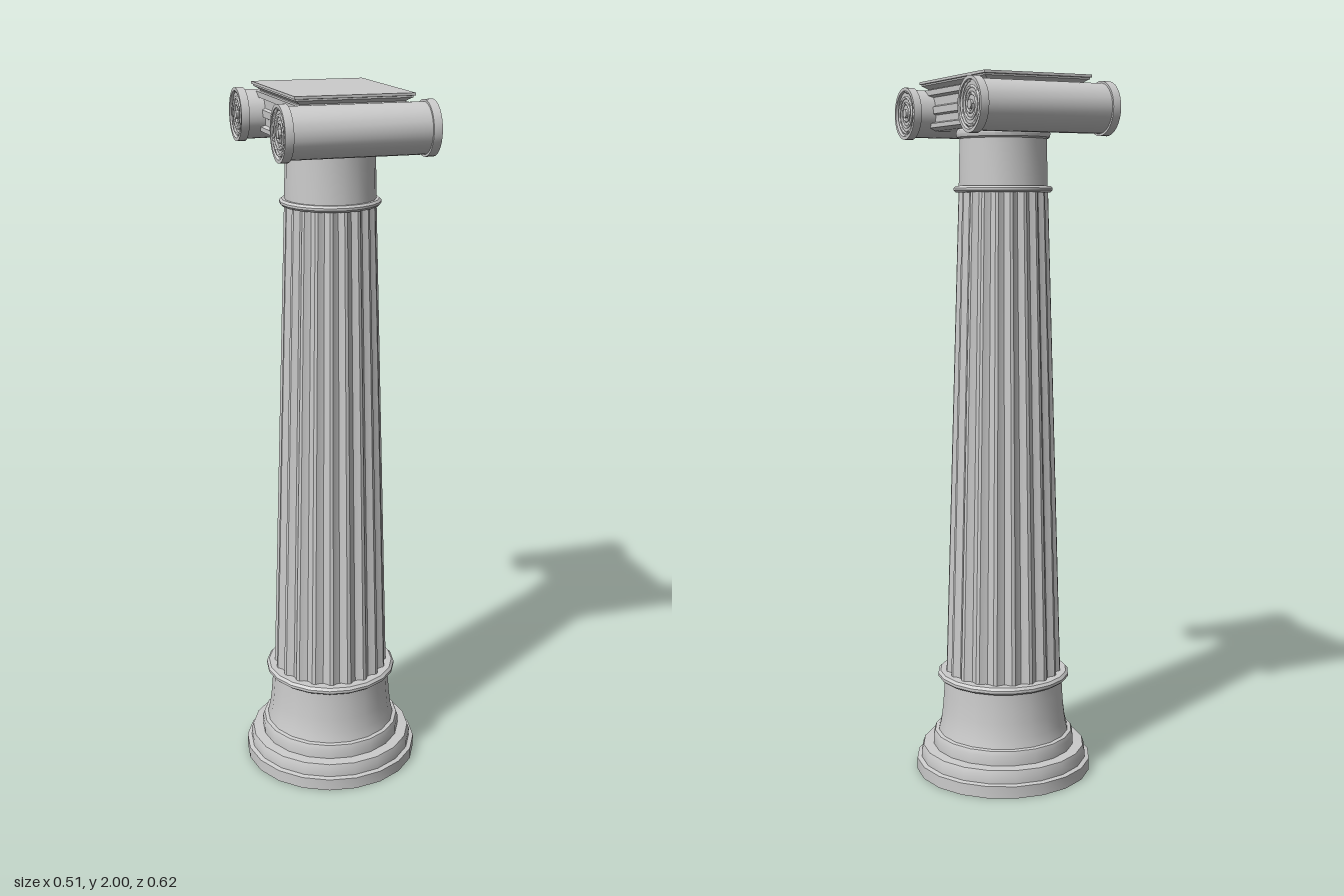
import * as THREE from 'three';
import { toCreasedNormals } from 'three/addons/utils/BufferGeometryUtils.js';

const material = new THREE.MeshStandardMaterial({ color: 0xcccccc });
const SIDES = 20;

function part(name, geometry, crease = 0.5) {
  const mesh = new THREE.Mesh(toCreasedNormals(geometry, crease), material);
  mesh.name = name;
  return mesh;
}

// Profile points are [radius, height], bottom to top
function lathe(points, sides = SIDES) {
  return new THREE.LatheGeometry(points.map(p => new THREE.Vector2(...p)), sides);
}

// Tapered shaft whose surface is pressed in to form the flutes
function flutedShaft() {
  const depth = [0, 0, 0.65, 1, 0.65];
  const bottom = 0.29, top = 1.7;
  const g = new THREE.CylinderGeometry(0.126, 0.169, top - bottom, SIDES * depth.length, 1, true);
  const p = g.attributes.position;
  const step = Math.PI * 2 / (SIDES * depth.length);
  for (let i = 0; i < p.count; i++) {
    const k = Math.round((Math.atan2(p.getX(i), p.getZ(i)) + Math.PI * 2) / step);
    const s = 1 - 0.075 * depth[k % depth.length];
    p.setXYZ(i, p.getX(i) * s, p.getY(i) + (top + bottom) / 2, p.getZ(i) * s);
  }
  return g;
}

// Raised spiral in the y-z plane, wound outward from the eye
function spiral(x, wind) {
  const points = [];
  const turns = 2.75, n = 56;
  for (let i = 0; i <= n; i++) {
    const t = i / n;
    const a = Math.PI / 2 + wind * (1 - t) * turns * Math.PI * 2;
    const r = 0.016 + 0.046 * t;
    points.push(new THREE.Vector3(x, Math.sin(a) * r, Math.cos(a) * r));
  }
  return new THREE.TubeGeometry(new THREE.CatmullRomCurve3(points), 110, 0.0045, 5);
}

// Cylindrical scroll with rimmed ends, spirals and eyes
function scroll(side) {
  const g = new THREE.Group();
  g.name = side > 0 ? 'frontScroll' : 'backScroll';
  const half = [[0.067, 0.184], [0.073, 0.184], [0.073, 0.207], [0.064, 0.207], [0.062, 0.2], [0, 0.2]];
  const profile = [...half.map(([r, y]) => [r, -y]).reverse(), ...half];
  const body = part('scrollBody', lathe(profile, 32));
  body.rotation.z = -Math.PI / 2;
  g.add(body);
  for (const end of [-1, 1]) {
    g.add(part('scrollSpiral', spiral(end * 0.201, side), 1.4));
    const eye = part('scrollEye', new THREE.CylinderGeometry(0.012, 0.012, 0.01, 16));
    eye.rotation.z = Math.PI / 2;
    eye.position.x = end * 0.202;
    g.add(eye);
  }
  g.position.set(0, 1.911, side * 0.218);
  return g;
}

// Block between the scrolls with stepped, channelled sides
function channelBlock() {
  const edge = [[0.13, 1.862], [0.15, 1.87], [0.15, 1.882], [0.138, 1.886], [0.138, 1.905],
    [0.146, 1.909], [0.146, 1.928], [0.138, 1.932], [0.138, 1.955], [0.152, 1.96], [0.152, 1.975]];
  const outline = [...edge, ...edge.map(([x, y]) => [-x, y]).reverse()];
  const shape = new THREE.Shape(outline.map(p => new THREE.Vector2(...p)));
  const g = new THREE.ExtrudeGeometry(shape, { depth: 0.4, bevelEnabled: false });
  return g.translate(0, 0, -0.2);
}

// Rectangular slab lofted through [half width, half depth, height] rings
function abacus() {
  const rings = [[0.142, 0.194, 1.97], [0.142, 0.194, 1.978], [0.148, 0.2, 1.983],
    [0.157, 0.209, 1.988], [0.157, 0.209, 1.992], [0.161, 0.214, 1.993], [0.161, 0.214, 2]];
  const pos = [], index = [];
  for (const [w, d, y] of rings) pos.push(w, y, d, w, y, -d, -w, y, -d, -w, y, d);
  for (let r = 0; r < rings.length - 1; r++) {
    for (let c = 0; c < 4; c++) {
      const a = r * 4 + c, b = r * 4 + (c + 1) % 4;
      index.push(a, b, b + 4, a, b + 4, a + 4);
    }
  }
  const t = (rings.length - 1) * 4;
  index.push(t, t + 1, t + 2, t, t + 2, t + 3, 0, 2, 1, 0, 3, 2);
  const g = new THREE.BufferGeometry();
  g.setAttribute('position', new THREE.Float32BufferAttribute(pos, 3));
  g.setIndex(index);
  return g;
}

export function createModel() {
  const column = new THREE.Group();
  column.name = 'column';

  // Stepped foot and flared pedestal
  column.add(part('base', lathe([[0, 0], [0.257, 0], [0.257, 0.035], [0.244, 0.038], [0.244, 0.058],
    [0.238, 0.075], [0.208, 0.077], [0.208, 0.105], [0.203, 0.118], [0.192, 0.12],
    [0.185, 0.15], [0.18, 0.19], [0.176, 0.24], [0.174, 0.28]])));
  column.add(part('lowerRing', lathe([[0.16, 0.279], [0.186, 0.279], [0.193, 0.285], [0.193, 0.293],
    [0.186, 0.3], [0.16, 0.3]])));

  column.add(part('flutedShaft', flutedShaft()));

  // Collar and neck above the shaft
  column.add(part('upperRing', lathe([[0.11, 1.688], [0.134, 1.688], [0.14, 1.694], [0.14, 1.7],
    [0.134, 1.706], [0.11, 1.706]])));
  column.add(part('neck', lathe([[0.126, 1.7], [0.123, 1.835], [0.131, 1.839], [0.133, 1.848],
    [0.131, 1.857], [0.122, 1.866], [0, 1.866]])));

  // Scrolled capital
  column.add(part('channelBlock', channelBlock()));
  column.add(scroll(1), scroll(-1));
  column.add(part('abacus', abacus()));

  // The whole column is turned slightly about its axis
  column.rotation.y = 0.087;
  const model = new THREE.Group();
  model.name = 'scrolledColumn';
  model.add(column);
  return model;
}
